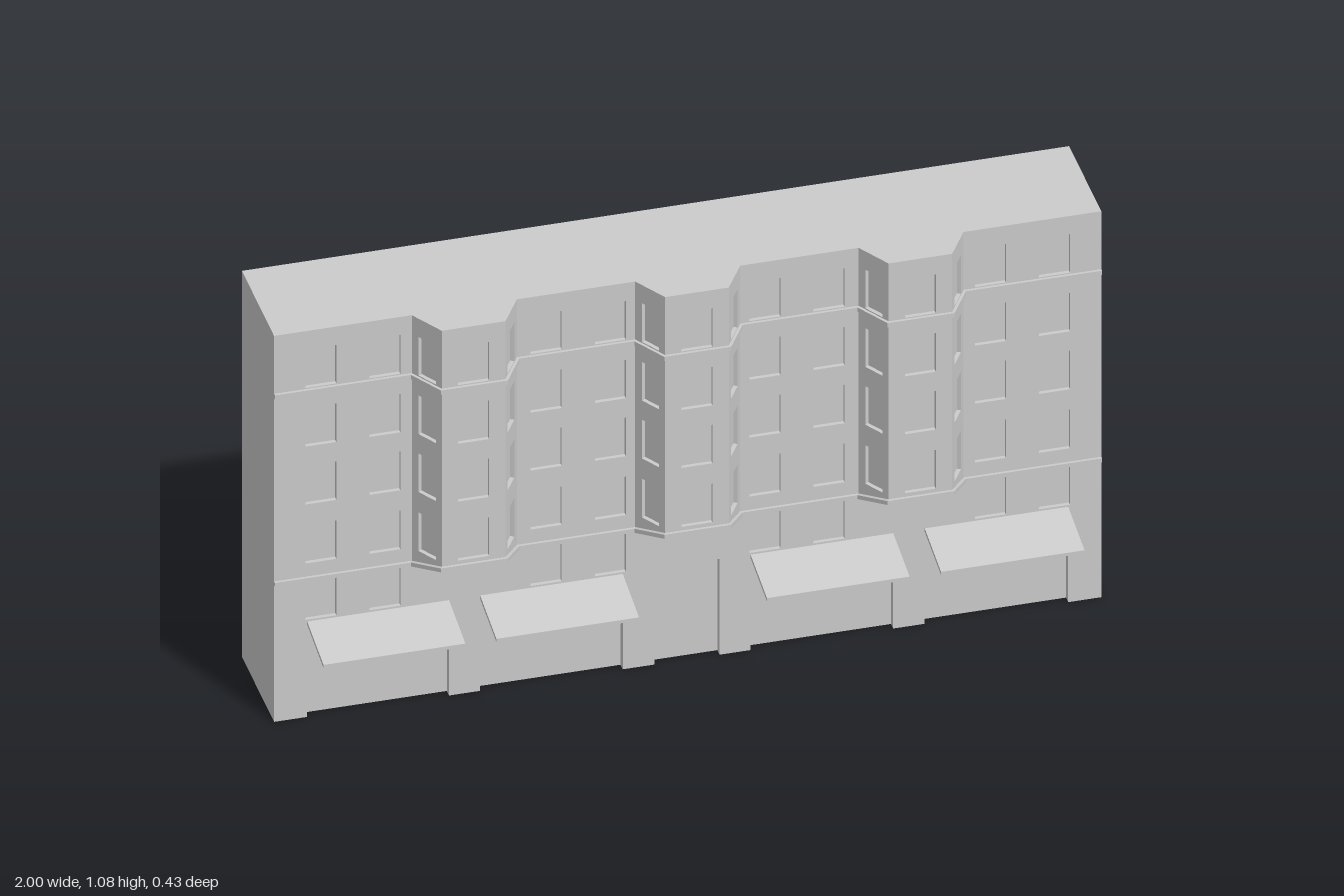
import * as THREE from 'three';

const material = new THREE.MeshStandardMaterial({ color: 0xcccccc, side: THREE.DoubleSide });
const H = 1.08, BACK = -0.215, WALL = 0.07, BAY = 0.152;
const BAY_X = [-0.54, 0, 0.54], BASE = 0.127, NOSE = 0.077;
const BAY_LOW = 0.388, BAY_LOW_NOSE = 0.41;
const ROWS = [0.43, 0.595, 0.757, 0.921], WIN_W = 0.075, WIN_H = 0.108;

function add(parent, name, geometry) {
  const mesh = new THREE.Mesh(geometry, material);
  mesh.name = name;
  parent.add(mesh);
  return mesh;
}

const polygon = (pts) => new THREE.Shape(pts.map(([x, y]) => new THREE.Vector2(x, y)));

// Wall panel standing on the plan line a -> b, with recessed openings [u0, y0, u1, y1]
function panel(parent, name, a, b, outline, openings, depth, cutHoles = true) {
  const group = new THREE.Group();
  group.name = name;
  group.position.set(a[0], 0, a[1]);
  group.rotation.y = Math.atan2(a[1] - b[1], b[0] - a[0]);
  const shape = polygon(outline);
  for (const [u0, y0, u1, y1] of openings) {
    if (cutHoles) shape.holes.push(new THREE.Path(polygon([[u0, y0], [u0, y1], [u1, y1], [u1, y0]]).getPoints()));
    const pane = add(group, 'recessedPane', new THREE.PlaneGeometry(u1 - u0, y1 - y0));
    pane.position.set((u0 + u1) / 2, (y0 + y1) / 2, -depth);
  }
  const wall = new THREE.ExtrudeGeometry(shape, { depth, bevelEnabled: false });
  add(group, 'wall', wall.translate(0, 0, -depth));
  parent.add(group);
}

const windows = (centres, rows, w = WIN_W, h = WIN_H) =>
  centres.flatMap((u) => rows.map((y) => [u - w / 2, y, u + w / 2, y + h]));

const rect = (w, y0, y1) => [[0, y0], [w, y0], [w, y1], [0, y1]];

// Plan line of the facade from left edge to right edge, with a flag for bay noses
function facadeLine() {
  const pts = [[-1, WALL, 0]];
  for (const c of BAY_X) {
    pts.push([c - BASE, WALL, 0], [c - NOSE, BAY, 1], [c + NOSE, BAY, 1], [c + BASE, WALL, 0]);
  }
  pts.push([1, WALL, 0]);
  return pts;
}

// Thin moulding following the facade; every corner is mitred
function cornice(parent, name, yFlat, yNose, height, out) {
  const line = facadeLine(), pos = [], index = [];
  const normal = (p, q) => new THREE.Vector2(p[1] - q[1], q[0] - p[0]).normalize();
  line.forEach((p, i) => {
    const n1 = normal(line[Math.max(i - 1, 0)], line[Math.max(i, 1)]);
    const last = line.length - 1;
    const n2 = normal(line[Math.min(i, last - 1)], line[Math.min(i + 1, last)]);
    const m = n1.clone().add(n2).normalize();
    m.multiplyScalar(out / m.dot(n1));
    const y = p[2] ? yNose : yFlat;
    const x2 = p[0] + m.x, z2 = p[1] + m.y;
    pos.push(p[0], y, p[1], x2, y, z2, x2, y + height, z2, p[0], y + height, p[1]);
    if (i === 0) return;
    for (let k = 0; k < 3; k++) {
      const a = (i - 1) * 4 + k, b = i * 4 + k;
      index.push(a, b, b + 1, a, b + 1, a + 1);
    }
  });
  const e = (line.length - 1) * 4;
  index.push(0, 1, 2, 0, 2, 3, e, e + 2, e + 1, e, e + 3, e + 2);
  const g = new THREE.BufferGeometry();
  g.setAttribute('position', new THREE.Float32BufferAttribute(pos, 3));
  g.setIndex(index);
  const flat = g.toNonIndexed();
  flat.computeVertexNormals();
  add(parent, name, flat);
}

export function createModel() {
  const model = new THREE.Group();
  model.name = 'terraceBuilding';

  // Plain back and end walls; the underside stays open
  const deep = WALL - BACK;
  const back = add(model, 'backWall', new THREE.PlaneGeometry(2, H));
  back.position.set(0, H / 2, BACK);
  back.rotation.y = Math.PI;
  for (const s of [-1, 1]) {
    const end = add(model, s > 0 ? 'leftEndWall' : 'rightEndWall', new THREE.PlaneGeometry(deep, H));
    end.position.set(s, H / 2, (WALL + BACK) / 2);
    end.rotation.y = s * Math.PI / 2;
  }

  // Flat roof following the bays
  const plan = [[-1, -BACK], ...facadeLine().map(([x, z]) => [x, -z]), [1, -BACK]];
  const roof = add(model, 'roof', new THREE.ShapeGeometry(polygon(plan)));
  roof.rotation.x = -Math.PI / 2;
  roof.position.y = H;

  // Ground floor: piers between recessed shopfronts and a central doorway
  const TOP = 0.27, SHOP = 0.217, DOOR = 0.268;
  const shops = [[-0.92, -0.577], [-0.502, -0.157], [0.152, 0.497], [0.573, 0.92]];
  const bays = [...shops.map(([a, b]) => [a + 1, 0, b + 1, SHOP]), [0.92, 0, 1.077, DOOR]].sort((p, q) => p[0] - q[0]);
  const outline = [[0, 0]];
  for (const [u0, , u1, y] of bays) outline.push([u0, 0], [u0, y], [u1, y], [u1, 0]);
  outline.push([2, 0], [2, TOP], [0, TOP]);
  panel(model, 'groundFloor', [-1, WALL], [1, WALL], outline, bays, 0.02, false);

  // Flat stretches of the upper facade, two windows wide
  const D = 0.01;
  const edges = [-1, ...BAY_X.flatMap((c) => [c - BASE, c + BASE]), 1];
  const columns = [[-0.887, -0.732], [-0.342, -0.187], [0.187, 0.342], [0.732, 0.887]];
  columns.forEach((cols, i) => {
    const x0 = edges[2 * i], x1 = edges[2 * i + 1];
    const open = windows(cols.map((x) => x - x0), [0.272, ...ROWS]);
    panel(model, 'upperWall', [x0, WALL], [x1, WALL], rect(x1 - x0, TOP, H), open, D);
  });

  // Canted bays with a window on each of their three faces
  const side = Math.hypot(BASE - NOSE, BAY - WALL);
  for (const c of BAY_X) {
    const bay = new THREE.Group();
    bay.name = 'bayWindow';
    const p = [[c - BASE, WALL], [c - NOSE, BAY], [c + NOSE, BAY], [c + BASE, WALL]];
    const sideWin = 0.055;
    panel(bay, 'baySide', p[0], p[1], [[0, BAY_LOW], [side, BAY_LOW_NOSE], [side, H], [0, H]],
      windows([side * 0.515], ROWS, sideWin), D);
    panel(bay, 'bayFront', p[1], p[2], rect(NOSE * 2, BAY_LOW_NOSE, H), windows([NOSE], ROWS), D);
    panel(bay, 'baySide', p[2], p[3], [[0, BAY_LOW_NOSE], [side, BAY_LOW], [side, H], [0, H]],
      windows([side * 0.485], ROWS, sideWin), D);
    panel(bay, 'wallBelowBay', p[0], p[3], rect(BASE * 2, TOP, BAY_LOW), [], D);
    // Sloping underside
    const soffit = new THREE.BufferGeometry();
    soffit.setAttribute('position', new THREE.Float32BufferAttribute(
      p.flatMap(([x, z], i) => [x, i === 1 || i === 2 ? BAY_LOW_NOSE : BAY_LOW, z]), 3));
    soffit.setIndex([0, 2, 1, 0, 3, 2]);
    soffit.computeVertexNormals();
    add(bay, 'baySoffit', soffit);
    model.add(bay);
  }

  // Mouldings
  cornice(model, 'lowerCornice', 0.382, BAY_LOW_NOSE - 0.001, 0.011, 0.007);
  cornice(model, 'upperCornice', 0.906, 0.906, 0.012, 0.007);

  // Sloping shop awnings
  const profile = polygon([[WALL, 0.258], [0.215, 0.229], [0.215, 0.238], [WALL, 0.267]]);
  for (const [x0, x1] of shops) {
    const g = new THREE.ExtrudeGeometry(profile, { depth: x1 - x0, bevelEnabled: false });
    g.rotateY(-Math.PI / 2);
    // Profile depth now runs along +z and the extrusion along -x
    add(model, 'awning', g).position.x = x1;
  }
  return model;
}
